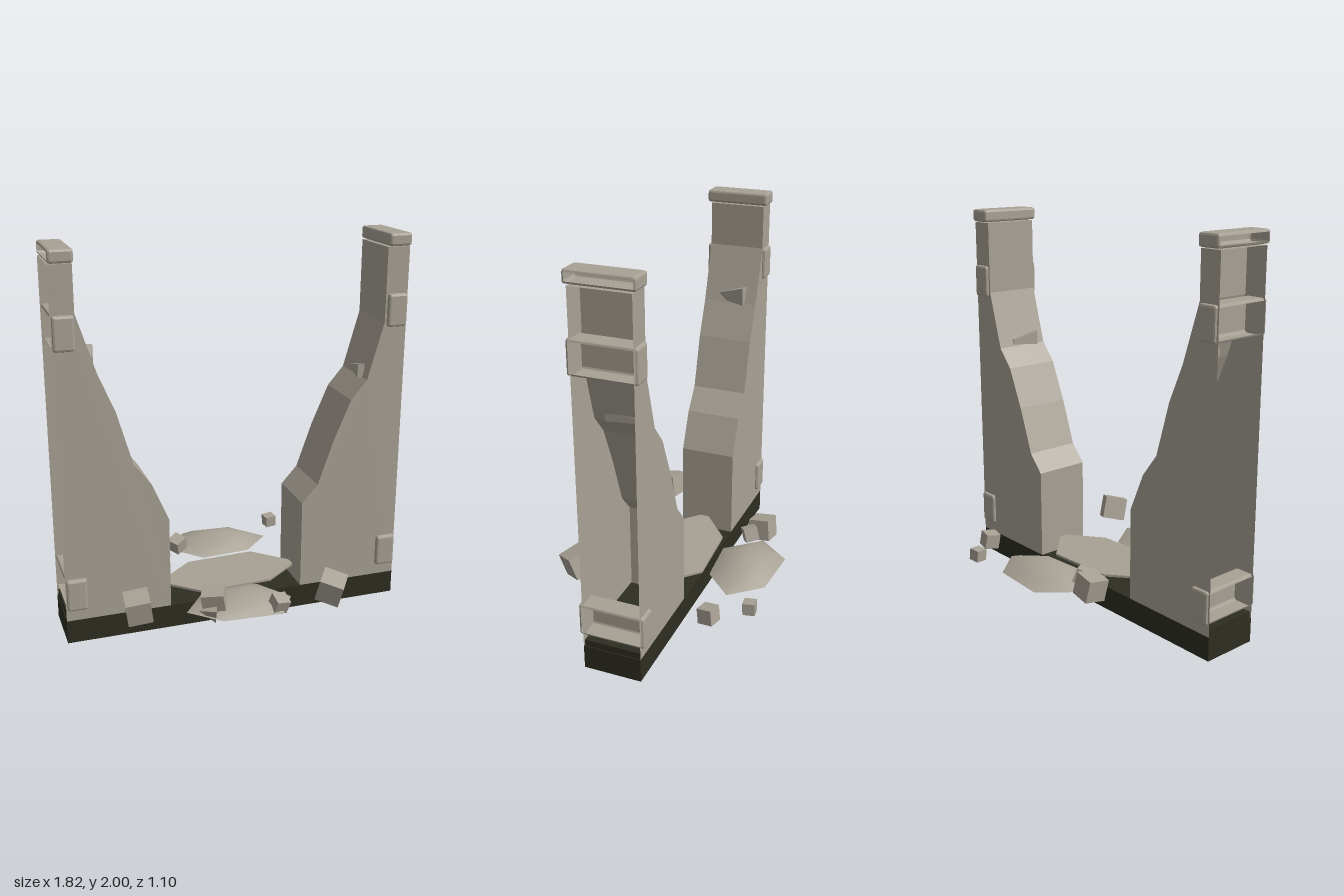
import * as THREE from 'three';
import { RoundedBoxGeometry } from 'three/addons/geometries/RoundedBoxGeometry.js';

const stone = new THREE.MeshStandardMaterial({ color: 0xa8a195, side: THREE.DoubleSide });
stone.name = 'stone';
const earth = new THREE.MeshStandardMaterial({ color: 0x2d2d22, side: THREE.DoubleSide });
earth.name = 'darkFooting';

const Z0 = -0.145, Z1 = 0.155, ZC = 0.005;

export function createModel() {
  const model = new THREE.Group();
  model.name = 'brokenWall';

  function add(name, geometry, material, x = 0, y = 0, z = 0, parent = model) {
    const mesh = new THREE.Mesh(geometry, material);
    mesh.name = name;
    mesh.position.set(x, y, z);
    parent.add(mesh);
    return mesh;
  }

  function flatGeometry(positions) {
    const g = new THREE.BufferGeometry();
    g.setAttribute('position', new THREE.Float32BufferAttribute(positions, 3));
    g.computeVertexNormals();
    return g;
  }

  // Hollow wall: two broken-edged faces joined by a strip, outer end left open
  function wall(name, side, profile) {
    const group = new THREE.Group();
    group.name = name;
    model.add(group);
    const outline = [[side * 0.91, 0.125], [side * 0.91, 1.93], ...profile];
    const shape = new THREE.Shape(outline.map(([x, y]) => new THREE.Vector2(x, y)));
    add(name + 'Front', new THREE.ShapeGeometry(shape), stone, 0, 0, Z1, group);
    const back = add(name + 'Back', new THREE.ShapeGeometry(shape), stone, 0, 0, Z0, group);
    const flip = back.geometry.index.array;
    for (let i = 0; i < flip.length; i += 3) [flip[i], flip[i + 1]] = [flip[i + 1], flip[i]];
    back.geometry.computeVertexNormals();
    const strip = [];
    for (let i = 1; i < outline.length - 1; i++) {
      const a = outline[i], b = outline[i + 1];
      const q = [[...a, Z0], [...a, Z1], [...b, Z1], [...b, Z0]];
      const order = side < 0 ? [0, 1, 2, 0, 2, 3] : [0, 2, 1, 0, 3, 2];
      order.forEach(k => strip.push(...q[k]));
    }
    add(name + 'BrokenEdge', flatGeometry(strip), stone, 0, 0, 0, group);
  }

  wall('leftWall', 1, [[0.79, 1.93], [0.79, 1.55], [0.705, 1.25], [0.62, 1.15],
    [0.53, 0.94], [0.445, 0.7], [0.36, 0.605], [0.36, 0.125]]);
  wall('rightWall', -1, [[-0.795, 1.93], [-0.795, 1.7], [-0.7, 1.4], [-0.62, 1.21],
    [-0.54, 0.93], [-0.45, 0.81], [-0.365, 0.61], [-0.365, 0.125]]);

  // Chamfered block without its outer end
  function openBlock(name, side, x0, x1, y0, y1) {
    const w = x1 - x0;
    const p = new RoundedBoxGeometry(w, y1 - y0, 0.34, 1, 0.012).attributes.position;
    const kept = [];
    for (let i = 0; i < p.count; i += 3) {
      const tri = [0, 1, 2].map(k => [p.getX(i + k), p.getY(i + k), p.getZ(i + k)]);
      if (tri.every(v => v[0] * side > w / 2 - 0.002)) continue;
      tri.forEach(v => kept.push(...v));
    }
    add(name, flatGeometry(kept), stone, side * (x0 + x1) / 2, (y0 + y1) / 2, ZC + 0.003);
  }

  // Footing, raised infill inside the walls, quoins and caps
  add('footing', new THREE.BoxGeometry(1.82, 0.125, Z1 - Z0), earth, 0, 0.0625, ZC);
  for (const s of [1, -1]) {
    add('wallInfill', new THREE.BoxGeometry(0.53, 0.035, 0.29), earth, s * 0.64, 0.1425, ZC);
    openBlock('capStone', s, 0.79, 0.91, 1.935, 2);
    openBlock('upperQuoin', s, 0.8, 0.905, 1.525, 1.695);
    openBlock('lowerQuoin', s, 0.8, 0.905, 0.185, 0.355);
  }

  // Flat slab lying across the gap
  const slab = [[-0.37, 0], [-0.18, -0.16], [0.19, -0.18], [0.365, -0.01],
    [0.365, 0.03], [0.18, 0.17], [-0.2, 0.19], [-0.37, 0.04]];
  const slabShape = new THREE.Shape(slab.map(([x, z]) => new THREE.Vector2(x, -z)));
  const slabGeo = new THREE.ExtrudeGeometry(slabShape, { depth: 0.012, bevelEnabled: false });
  add('gapSlab', slabGeo.rotateX(-Math.PI / 2), stone, 0, 0.187, 0);

  // Smooth rubble mound lofted from a hexagonal outline, with a flat underside
  function mound(name, outline) {
    const n = outline.length;
    const cx = outline.reduce((t, p) => t + p[0], 0) / n;
    const cz = outline.reduce((t, p) => t + p[1], 0) / n;
    const pos = [], index = [];
    for (const [r, y] of [[1, 0.19], [0.72, 0.222], [0.38, 0.246]])
      for (const [x, z] of outline) pos.push(cx + (x - cx) * r, y, cz + (z - cz) * r);
    pos.push(cx, 0.254, cz);
    for (let j = 0; j < n; j++) {
      const k = (j + 1) % n;
      for (let r = 0; r < 2; r++) {
        const a = r * n + j, b = r * n + k;
        index.push(a, b, b + n, a, b + n, a + n);
      }
      index.push(2 * n + j, 2 * n + k, 3 * n);
    }
    const top = new THREE.BufferGeometry();
    top.setAttribute('position', new THREE.Float32BufferAttribute(pos, 3));
    top.setIndex(index);
    top.computeVertexNormals();
    add(name, top, stone);
    const shape = new THREE.Shape(outline.map(([x, z]) => new THREE.Vector2(x, z)));
    add(name + 'Underside', new THREE.ShapeGeometry(shape).rotateX(Math.PI / 2), stone, 0, 0.19, 0);
  }

  // Outlines run anticlockwise seen from above
  mound('backMound', [[0.34, -0.37], [0.2, -0.53], [-0.1, -0.55],
    [-0.24, -0.38], [-0.08, -0.2], [0.19, -0.22]]);
  mound('frontMound', [[0.22, 0.37], [0.1, 0.19], [-0.21, 0.2],
    [-0.34, 0.37], [-0.19, 0.51], [0.12, 0.53]]);

  // Tumbled stones: x, y, z, size, rotation x, y, z
  const stones = [
    [-0.58, 0.243, 0.33, 0.125, 0.2, -0.1, 0.15],
    [0.415, 0.245, 0.44, 0.125, 0.25, -0.6, -0.12],
    [-0.2, 0.255, 0.39, 0.115, 0.2, -0.4, 0.2],
    [0.11, 0.23, 0.487, 0.075, 0.35, 0.1, -0.2],
    [-0.305, 0.237, -0.355, 0.115, 0.15, -0.08, 0.15],
    [-0.2, 0.245, -0.315, 0.075, 0.2, 0.6, 0.2],
    [0.43, 0.217, -0.525, 0.062, 0.06, 0.12, 0.06],
    [0.56, 0.215, -0.355, 0.08, 0.15, -0.2, 0.1],
  ];
  for (const [x, y, z, s, rx, ry, rz] of stones)
    add('looseStone', new THREE.BoxGeometry(s, s, s), stone, x, y, z).rotation.set(rx, ry, rz);
  const shard = add('stoneShard', new THREE.TetrahedronGeometry(0.065), stone, -0.23, 0.215, 0.445);
  shard.rotation.set(0.5, 0.3, 0.9);

  // Tapered chips stuck in the broken edges
  function chip(name, x, y, z, w, h, dir, tilt) {
    const g = new THREE.BoxGeometry(w, h, 0.15).toNonIndexed();
    const p = g.attributes.position;
    for (let i = 0; i < p.count; i++)
      if (p.getZ(i) * dir < 0) p.setXY(i, p.getX(i) * 0.35, p.getY(i) * 0.35 - h * 0.15);
    g.computeVertexNormals();
    add(name, g, stone, x, y, z).rotation.set(0, tilt, 0);
  }
  chip('leftChip', 0.705, 1.285, 0.02, 0.035, 0.075, 1, -0.1);
  chip('rightChip', -0.71, 1.445, -0.005, 0.045, 0.1, -1, -0.15);

  return model;
}
